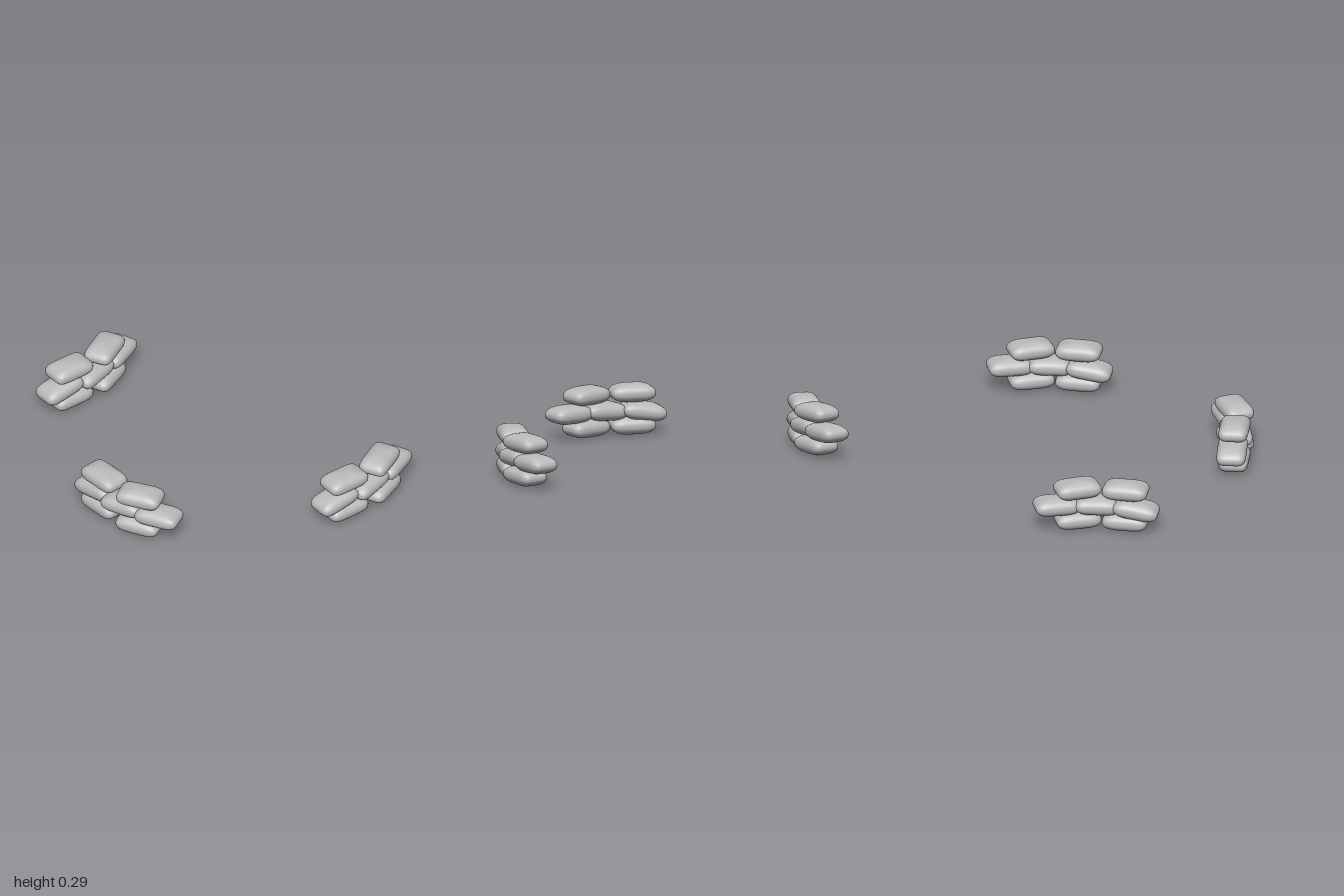
import * as THREE from 'three';
import { mergeVertices } from 'three/addons/utils/BufferGeometryUtils.js';

// Pillow: rounded-rectangle outline from above, elliptical profile from the side
function pillowGeometry(halfLength, halfHeight, halfWidth) {
  const sphere = new THREE.SphereGeometry(1, 48, 24);
  sphere.deleteAttribute('uv');
  sphere.deleteAttribute('normal');
  const p = sphere.attributes.position;
  const corner = 5.5, profile = 2.25;
  for (let i = 0; i < p.count; i++) {
    const x = p.getX(i), y = p.getY(i), z = p.getZ(i);
    const r = Math.hypot(x, z);
    const c = r > 1e-6 ? x / r : 0, s = r > 1e-6 ? z / r : 0;
    const outline = r > 1e-6
      ? Math.pow(Math.abs(c) ** corner + Math.abs(s) ** corner, -1 / corner) : 0;
    const spread = Math.pow(r, 2 / profile) * outline;
    const rise = Math.sign(y) * Math.pow(Math.abs(y), 2 / profile);
    p.setXYZ(i, c * spread * halfLength, rise * halfHeight, s * spread * halfWidth);
  }
  const geometry = mergeVertices(sphere, 1e-5);
  geometry.computeVertexNormals();
  return geometry;
}

export function createModel() {
  const model = new THREE.Group();
  model.name = 'sandbagWalls';
  const cloth = new THREE.MeshStandardMaterial({ color: 0xbababa });
  cloth.name = 'greyCloth';
  const bag = pillowGeometry(0.125, 0.053, 0.081);

  // name, x, y, z, turn and tilt in degrees
  const bags = [
    ['bottomBagA', 0, 0.053, 0, -3, 0],
    ['bottomBagB', 0.265, 0.053, -0.012, 21, 0],
    ['middleBagA', -0.06, 0.127, -0.01, -1, 8],
    ['middleBagB', 0.16, 0.137, 0, 12, 4],
    ['middleBagC', 0.375, 0.14, -0.048, 21, 1],
    ['topBagA', 0, 0.233, 0, -3, 0],
    ['topBagB', 0.265, 0.233, -0.015, 25, 0],
  ];

  // Each wall is the same curved stack, placed and turned
  const walls = [
    ['frontWall', -0.075, 0.655, 0],
    ['rightWall', -0.893, 0.105, 85],
    ['leftWall', 0.877, -0.25, 85],
  ];

  const rad = THREE.MathUtils.degToRad;
  for (const [wallName, wx, wz, wallTurn] of walls) {
    const wall = new THREE.Group();
    wall.name = wallName;
    for (const [name, x, y, z, turn, tilt] of bags) {
      const mesh = new THREE.Mesh(bag, cloth);
      mesh.name = name;
      mesh.position.set(x, y, z);
      mesh.rotation.set(0, rad(turn), rad(tilt));
      wall.add(mesh);
    }
    wall.position.set(wx, 0, wz);
    wall.rotation.y = rad(wallTurn);
    model.add(wall);
  }
  return model;
}
